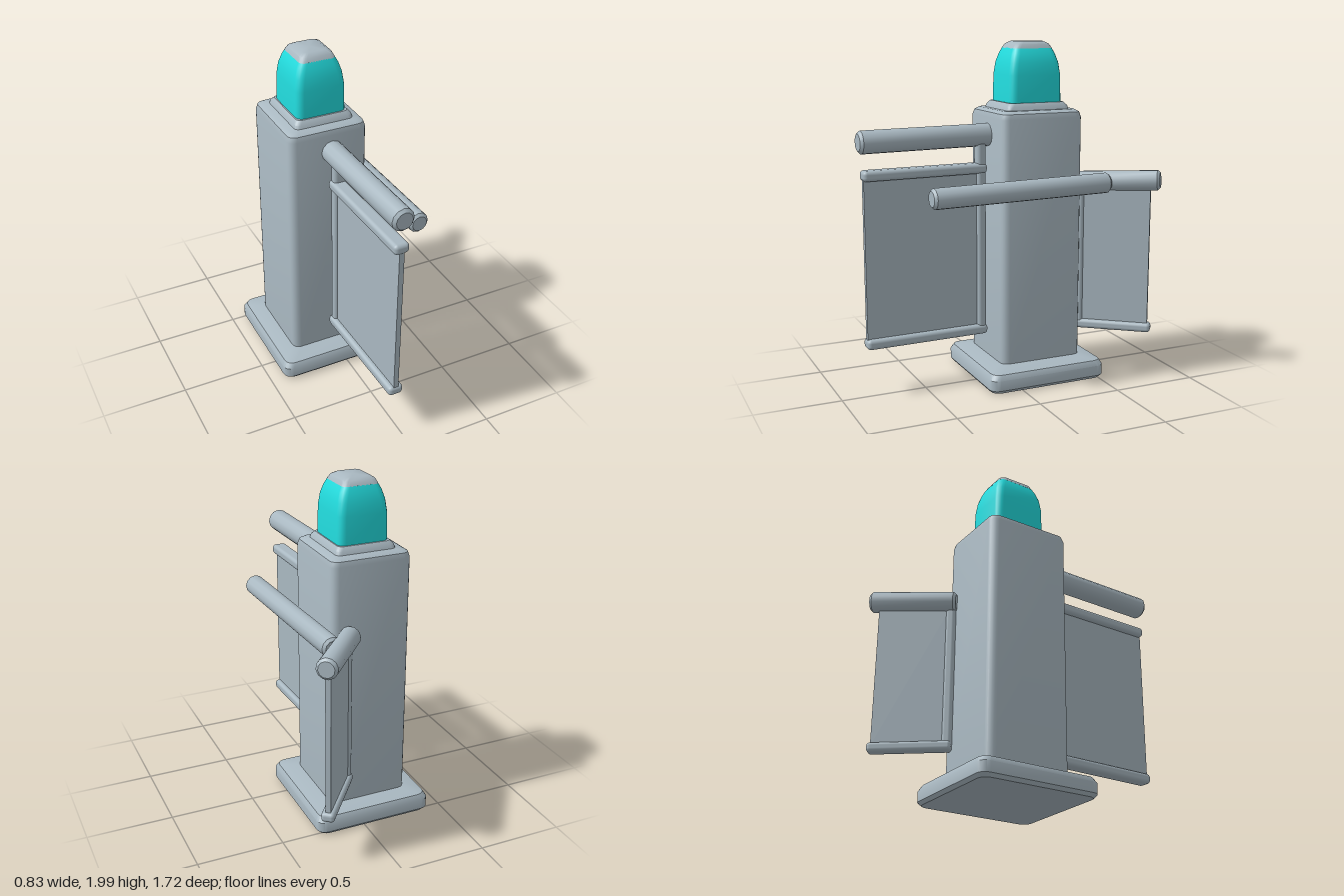
import * as THREE from 'three';
import { toCreasedNormals } from 'three/addons/utils/BufferGeometryUtils.js';
import { RoundedBoxGeometry } from 'three/addons/geometries/RoundedBoxGeometry.js';

const grey = new THREE.MeshStandardMaterial({ color: 0xa9b8c1 });
grey.name = 'painted metal';
const cyan = new THREE.MeshStandardMaterial({ color: 0x22dcde });
cyan.name = 'lamp cyan';

// Outline of a rounded rectangle, counter-clockwise seen from above
function ring(hx, hz, r) {
  const pts = [];
  const corners = [[1, -1, 0], [-1, -1, 1], [-1, 1, 2], [1, 1, 3]];
  for (const [sx, sz, q] of corners) {
    for (let i = 0; i <= 4; i++) {
      const a = (q + i / 4) * Math.PI / 2;
      pts.push([sx * (hx - r) + Math.cos(a) * r, sz * (hz - r) - Math.sin(a) * r]);
    }
  }
  return pts;
}

// Closed solid through rounded-rectangle sections [y, halfX, halfZ, radius]
function loft(name, cx, cz, sections, material) {
  const pos = [], idx = [];
  let n = 0;
  for (const [y, hx, hz, r] of sections) {
    const pts = ring(hx, hz, r);
    n = pts.length;
    for (const [x, z] of pts) pos.push(cx + x, y, cz + z);
  }
  const last = sections.length - 1;
  for (let k = 0; k < last; k++) {
    for (let i = 0; i < n; i++) {
      const a = k * n + i, b = k * n + (i + 1) % n;
      idx.push(a, b, b + n, a, b + n, a + n);
    }
  }
  const bottom = pos.length / 3;
  pos.push(cx, sections[0][0], cz, cx, sections[last][0], cz);
  for (let i = 0; i < n; i++) {
    const j = (i + 1) % n;
    idx.push(bottom, j, i, bottom + 1, last * n + i, last * n + j);
  }
  const geo = new THREE.BufferGeometry();
  geo.setAttribute('position', new THREE.Float32BufferAttribute(pos, 3));
  geo.setIndex(idx);
  const mesh = new THREE.Mesh(toCreasedNormals(geo, 0.6), material);
  mesh.name = name;
  return mesh;
}

// Round bar with chamfered ends between two points
function bar(name, from, to, r) {
  const a = new THREE.Vector3(...from), b = new THREE.Vector3(...to);
  const dir = b.clone().sub(a), len = dir.length(), c = r * 0.25;
  const profile = [[0, 0], [r - c, 0], [r, c], [r, len - c], [r - c, len], [0, len]];
  const geo = new THREE.LatheGeometry(profile.map(p => new THREE.Vector2(...p)), 12);
  const mesh = new THREE.Mesh(toCreasedNormals(geo, 0.6), grey);
  mesh.position.copy(a);
  mesh.quaternion.setFromUnitVectors(new THREE.Vector3(0, 1, 0), dir.normalize());
  mesh.name = name;
  return mesh;
}

// Upright slab or rail between two plan points [x, z]
function slab(name, [x0, z0], [x1, z1], y0, y1, thickness, round) {
  const len = Math.hypot(x1 - x0, z1 - z0), h = y1 - y0;
  const geo = round
    ? new RoundedBoxGeometry(thickness, h, len, 2, round)
    : new THREE.BoxGeometry(thickness, h, len);
  const mesh = new THREE.Mesh(geo, grey);
  mesh.position.set((x0 + x1) / 2, (y0 + y1) / 2, (z0 + z1) / 2);
  mesh.rotation.y = Math.atan2(x1 - x0, z1 - z0);
  mesh.name = name;
  return mesh;
}

export function createModel() {
  const model = new THREE.Group();
  model.name = 'barrierPost';

  // Foot, column and shoulder
  model.add(loft('base', -0.065, -0.17, [
    [0.01, 0.335, 0.35, 0.05], [0.03, 0.352, 0.366, 0.05], [0.09, 0.352, 0.366, 0.05],
    [0.12, 0.335, 0.35, 0.05], [0.14, 0.25, 0.265, 0.04]], grey));
  model.add(loft('column', -0.07, -0.175, [
    [0.1, 0.238, 0.255, 0.045], [1.57, 0.238, 0.255, 0.045], [1.6, 0.23, 0.247, 0.045],
    [1.615, 0.205, 0.222, 0.04]], grey));
  model.add(loft('shoulder', -0.065, -0.175, [
    [1.6, 0.18, 0.2, 0.03], [1.635, 0.172, 0.19, 0.03], [1.655, 0.155, 0.172, 0.03]], grey));

  // Lamp with its cap
  model.add(loft('lamp', -0.065, -0.175, [
    [1.65, 0.148, 0.163, 0.04], [1.81, 0.146, 0.16, 0.04], [1.88, 0.137, 0.151, 0.04],
    [1.93, 0.122, 0.136, 0.04], [1.962, 0.105, 0.122, 0.035]], cyan));
  model.add(loft('lampCap', -0.065, -0.175, [
    [1.96, 0.107, 0.123, 0.035], [1.985, 0.095, 0.108, 0.035], [2.0, 0.07, 0.08, 0.03]], grey));

  // Front gate: arm, hanging post, two rails and panel
  const front = new THREE.Group();
  front.name = 'frontGate';
  front.add(bar('frontArm', [-0.05, 1.47, 0.06], [-0.03, 1.465, 0.86], 0.066));
  front.add(slab('frontPost', [-0.04, 0.105], [-0.04, 0.16], 0.29, 1.45, 0.07, 0.02));
  front.add(slab('frontTopRail', [-0.045, 0.1], [-0.025, 0.845], 1.25, 1.31, 0.09, 0.022));
  front.add(slab('frontBottomRail', [-0.045, 0.1], [-0.025, 0.845], 0.285, 0.345, 0.09, 0.022));
  front.add(slab('frontPanel', [-0.043, 0.13], [-0.025, 0.838], 0.32, 1.28, 0.03));
  model.add(front);

  // Side handrail
  model.add(bar('sideRail', [0.255, 1.175, 0.54], [0.222, 1.185, -0.57], 0.06));

  // Rear gate: angled arm, inner post, bottom rail and panel
  const rear = new THREE.Group();
  rear.name = 'rearGate';
  rear.add(bar('rearArm', [0.06, 1.18, -0.44], [0.378, 1.205, -0.83], 0.06));
  rear.add(slab('rearPost', [0.075, -0.435], [0.11, -0.475], 0.3, 1.18, 0.06, 0.018));
  rear.add(slab('rearBottomRail', [0.075, -0.435], [0.36, -0.8], 0.285, 0.34, 0.075, 0.02));
  rear.add(slab('rearPanel', [0.08, -0.445], [0.348, -0.785], 0.32, 1.18, 0.03));
  model.add(rear);

  return model;
}
